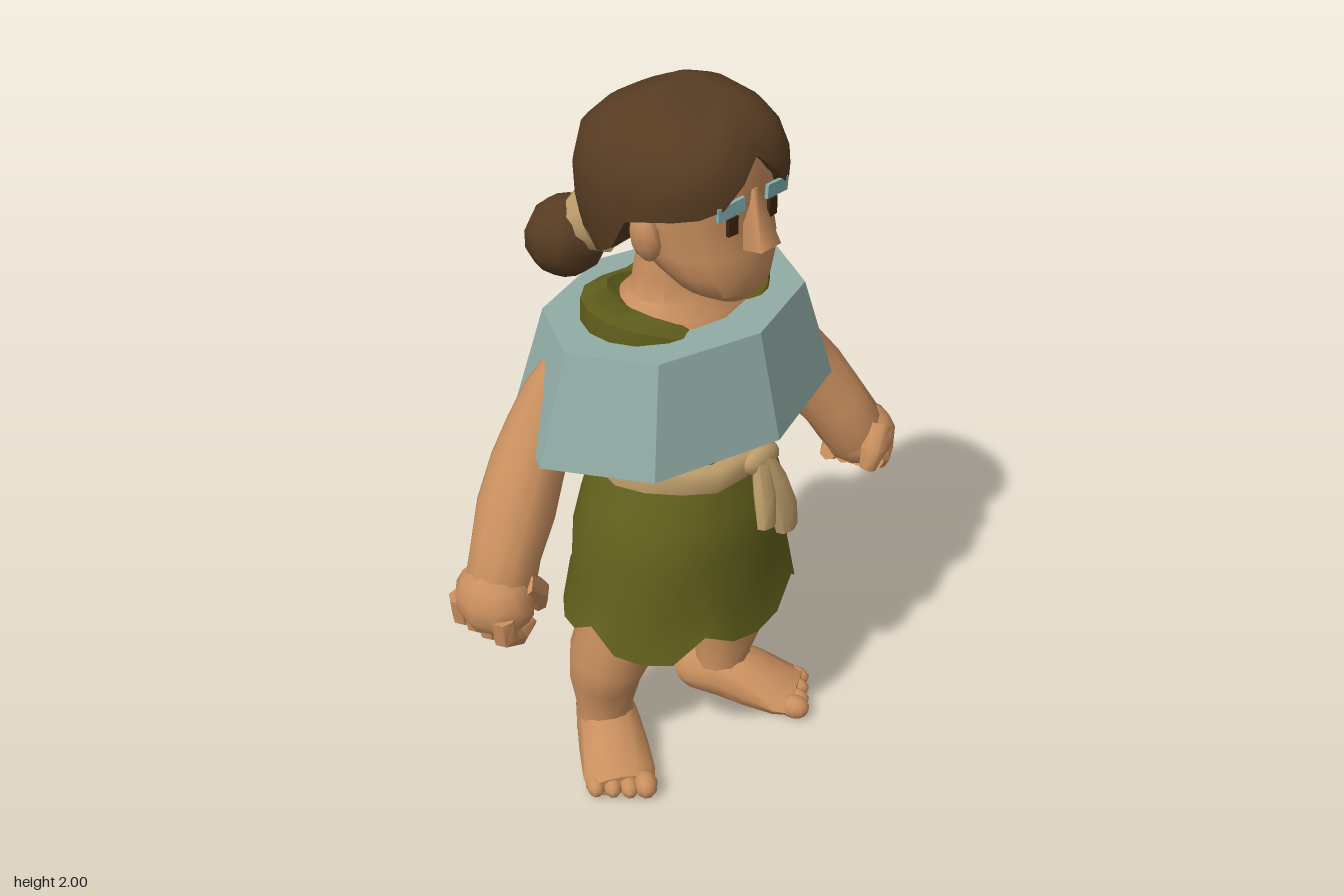
import * as THREE from 'three';
import { toCreasedNormals } from 'three/addons/utils/BufferGeometryUtils.js';

const mat = (name, color, side = THREE.FrontSide) => {
  const m = new THREE.MeshStandardMaterial({ color, side });
  m.name = name;
  return m;
};
const V = (x, y, z) => new THREE.Vector3(x, y, z);

// Closed skin over a stack of rings, with both ends capped
function skinOver(rings, crease = 0.9) {
  const n = rings[0].length, pos = [], idx = [];
  rings.forEach(r => r.forEach(p => pos.push(p.x, p.y, p.z)));
  for (let i = 0; i < rings.length - 1; i++) {
    for (let j = 0; j < n; j++) {
      const a = i * n + j, b = i * n + (j + 1) % n;
      idx.push(a, b, b + n, a, b + n, a + n);
    }
  }
  [rings[0], rings[rings.length - 1]].forEach((r, end) => {
    const c = r.reduce((s, p) => s.add(p), V(0, 0, 0)).divideScalar(n);
    const k = pos.length / 3, base = end ? (rings.length - 1) * n : 0;
    pos.push(c.x, c.y, c.z);
    for (let j = 0; j < n; j++) {
      const a = base + j, b = base + (j + 1) % n;
      if (end) idx.push(a, b, k); else idx.push(b, a, k);
    }
  });
  const g = new THREE.BufferGeometry();
  g.setAttribute('position', new THREE.Float32BufferAttribute(pos, 3));
  g.setIndex(idx);
  return toCreasedNormals(g, crease);
}

// Horizontal rings from rows [y, halfWidth, zFront, zBack]; lift(angle, row) adds height
function stack(rows, sides = 14, power = 2, lift = () => 0) {
  return skinOver(rows.map(([y, rx, zf, zb], i) => Array.from({ length: sides }, (_, j) => {
    const a = j / sides * Math.PI * 2, s = Math.sin(a), c = Math.cos(a);
    const k = Math.pow(Math.abs(s) ** power + Math.abs(c) ** power, -1 / power);
    return V(s * k * rx, y + lift(a, i, j), (zf + zb) / 2 + c * k * (zf - zb) / 2);
  })));
}

// Limb through points [x, y, z, radiusA, radiusB]
function limb(pts, sides = 10, ref = V(0, 0, 1), floor = false) {
  const c = pts.map(p => V(p[0], p[1], p[2]));
  return skinOver(pts.map((p, i) => {
    const t = c[Math.min(i + 1, c.length - 1)].clone().sub(c[Math.max(i - 1, 0)]).normalize();
    const u = t.clone().cross(ref).normalize(), v = u.clone().cross(t);
    return Array.from({ length: sides }, (_, j) => {
      const a = j / sides * Math.PI * 2;
      const q = c[i].clone().addScaledVector(u, Math.sin(a) * p[3]).addScaledVector(v, Math.cos(a) * (p[4] ?? p[3]));
      if (floor) q.y = Math.max(0, q.y);
      return q;
    });
  }));
}

// Piecewise linear lookup in [[x, y], ...] with rising x
function lerpTable(table, x) {
  for (let i = 1; i < table.length; i++) {
    const [x0, y0] = table[i - 1], [x1, y1] = table[i];
    if (x <= x1) return y0 + (y1 - y0) * Math.max(0, (x - x0) / (x1 - x0));
  }
  return table[table.length - 1][1];
}

export function createModel() {
  const skin = mat('skin', 0xc98f5e), hairMat = mat('hair', 0x573c22), cloth = mat('olive cloth', 0x62601c, THREE.DoubleSide);
  const rope = mat('rope', 0xbd9d6a), stone = mat('collar grey', 0x91aca5), brow = mat('brow blue', 0x86b4b6), eye = mat('eye brown', 0x40240f);
  const root = new THREE.Group();
  const add = (name, geo, m, parent = root) => {
    const mesh = new THREE.Mesh(geo, m);
    mesh.name = name;
    parent.add(mesh);
    return mesh;
  };
  const ball = (name, m, p, s, parent) => {
    const b = add(name, new THREE.SphereGeometry(1, 10, 7), m, parent);
    b.position.set(...p);
    b.scale.set(...s);
    return b;
  };

  // Octagonal collar
  const collarGeo = new THREE.CylinderGeometry(0.38, 0.478, 0.275, 8).toNonIndexed();
  collarGeo.scale(1, 1, 0.72);
  collarGeo.computeVertexNormals();
  add('collar', collarGeo, stone).position.y = 1.303;

  // Tunic top: scooped in front, straps raised over the shoulders
  add('tunicTop', stack([
    [1.02, 0.22, 0.21, -0.19], [1.2, 0.235, 0.2, -0.19], [1.36, 0.28, 0.2, -0.18],
    [1.405, 0.275, 0.18, -0.17], [1.41, 0.19, 0.15, -0.14], [1.37, 0.15, 0.12, -0.11],
  ], 18, 2.2, (a, i) => (i < 3 ? 0 : 0.085 * Math.abs(Math.sin(a)) ** 1.3 + (Math.cos(a) < 0 ? -0.05 * Math.cos(a) : 0))), cloth);

  // Skirt with a ragged hem and a lining
  const notch = j => (j % 4 === 2 ? 0.075 : j % 4 === 0 ? 0 : 0.01 * (j % 3));
  add('skirt', stack([
    [0.62, 0.2, 0.17, -0.15], [0.53, 0.32, 0.27, -0.24], [0.515, 0.348, 0.3, -0.268], [0.66, 0.322, 0.272, -0.238],
    [0.8, 0.315, 0.278, -0.23], [0.9, 0.28, 0.26, -0.215], [1.01, 0.228, 0.22, -0.195],
  ], 24, 2.2, (a, i, j) => (i === 1 || i === 2 ? notch(j) : 0)), cloth);

  // Rope belt, knot and tails
  add('belt', stack([
    [0.99, 0.225, 0.22, -0.2], [1.0, 0.24, 0.24, -0.215], [1.035, 0.24, 0.245, -0.22],
    [1.06, 0.235, 0.235, -0.21], [1.07, 0.22, 0.21, -0.19],
  ], 16, 2.1, a => 0.008 * Math.sin(5 * a)), rope);
  ball('beltKnot', rope, [0.055, 1.035, 0.245], [0.065, 0.042, 0.03]);
  add('beltTailLong', limb([[0.05, 1.05, 0.25, 0.03, 0.02], [0.075, 0.97, 0.272, 0.04, 0.03], [0.1, 0.88, 0.29, 0.042, 0.03], [0.11, 0.81, 0.295, 0.036, 0.026]], 7), rope);
  add('beltTailShort', limb([[0.045, 1.05, 0.25, 0.03, 0.02], [0.03, 0.95, 0.28, 0.032, 0.028], [0.025, 0.86, 0.295, 0.03, 0.022]], 7), rope);

  // Neck and upper chest
  add('neck', stack([
    [1.4, 0.22, 0.175, -0.16], [1.455, 0.185, 0.16, -0.14], [1.485, 0.135, 0.125, -0.1], [1.55, 0.125, 0.11, -0.09], [1.64, 0.11, 0.1, -0.06],
  ], 12), skin);

  // Head
  add('head', stack([
    [1.525, 0.06, 0.235, 0.14], [1.55, 0.11, 0.25, 0.06], [1.6, 0.145, 0.25, 0.0], [1.65, 0.165, 0.248, -0.08],
    [1.72, 0.172, 0.232, -0.14], [1.77, 0.178, 0.242, -0.15], [1.88, 0.17, 0.235, -0.14], [1.93, 0.1, 0.16, -0.08],
  ], 16, 2.5), skin);
  const nose = add('nose', new THREE.CylinderGeometry(0.012, 0.05, 0.14, 4, 1).rotateY(Math.PI / 4), skin);
  nose.position.set(0, 1.735, 0.248);
  nose.rotation.x = -0.18;
  for (const s of [-1, 1]) {
    ball('ear', skin, [s * 0.195, 1.7, 0.085], [0.028, 0.062, 0.042]).rotation.z = -s * 0.2;
    const e = add('eye', new THREE.BoxGeometry(0.03, 0.045, 0.009), eye);
    e.position.set(s * 0.07, 1.735, 0.237);
    e.rotation.y = s * 0.1;
    const b = add('eyebrow', new THREE.BoxGeometry(0.082, 0.034, 0.009), brow);
    b.position.set(s * 0.08, 1.78, 0.24);
    b.rotation.set(0, s * 0.1, -s * 0.08);
  }

  // Hair shell: its lower edge parts over the brow and clears the ears
  const edge = [[0, 1.885], [0.3, 1.82], [0.5, 1.775], [0.75, 1.77], [1.1, 1.76], [1.4, 1.74], [1.58, 1.65], [1.9, 1.615], [2.4, 1.59], [3.15, 1.585]];
  const girth = [[1.58, 0.72], [1.62, 0.88], [1.7, 0.97], [1.8, 1], [1.86, 0.98], [1.92, 0.87], [1.97, 0.62], [2, 0.25]];
  const hairRings = [-1, 0, 0.15, 0.35, 0.55, 0.75, 0.9, 1].map(t => Array.from({ length: 28 }, (_, j) => {
    const a = j / 28 * Math.PI * 2, s = Math.sin(a), c = Math.cos(a);
    const low = lerpTable(edge, Math.min(a, Math.PI * 2 - a));
    const y = low + (2 - low) * Math.max(t, 0);
    const k = lerpTable(girth, y) * Math.pow(Math.abs(s) ** 2.4 + Math.abs(c) ** 2.4, -1 / 2.4) * (t < 0 ? 0.82 : 1);
    const dip = t > 0.85 ? 0.015 * c * c : 0;
    return V(s * k * 0.24, y - dip, c * k * (c > 0 ? 0.262 : 0.217));
  }));
  add('hair', skinOver(hairRings), hairMat);

  // Bun and its tie
  ball('hairBun', hairMat, [-0.15, 1.585, -0.222], [0.108, 0.102, 0.102]);
  const tie = add('hairTie', new THREE.CylinderGeometry(0.075, 0.09, 0.05, 10), rope);
  tie.position.set(-0.118, 1.635, -0.168);
  tie.quaternion.setFromUnitVectors(V(0, 1, 0), V(-0.35, -0.4, -0.85).normalize());

  // Arms, each ending in a closed fist
  const arm = (side, pts, hand, turn) => {
    const g = new THREE.Group();
    g.name = side + 'Arm';
    root.add(g);
    add(side + 'ArmSkin', limb(pts, 12), skin, g);
    const h = new THREE.Group(), s = Math.sign(hand[0]);
    h.name = side + 'Hand';
    h.position.set(...hand);
    h.rotation.y = turn;
    g.add(h);
    ball('palm', skin, [s * 0.01, 0.01, 0], [0.092, 0.1, 0.11], h);
    for (let i = 0; i < 4; i++) {
      const z = -0.072 + i * 0.046;
      add('finger', limb([[s * 0.055, 0.01, z, 0.032], [s * 0.05, -0.05, z, 0.034], [s * 0.01, -0.07, z, 0.034], [-s * 0.035, -0.05, z, 0.026]], 7), skin, h);
    }
    add('thumb', limb([[-s * 0.02, 0.06, 0.06, 0.04], [-s * 0.07, 0.01, 0.065, 0.036], [-s * 0.085, -0.045, 0.055, 0.024]], 7), skin, h);
  };
  arm('left', [
    [0.36, 1.365, 0.065, 0.03], [0.365, 1.29, 0.055, 0.058, 0.062], [0.39, 1.19, 0.02, 0.09], [0.44, 1.1, 0.015, 0.1],
    [0.495, 1.01, 0.05, 0.105], [0.55, 0.91, 0.105, 0.095], [0.585, 0.83, 0.145, 0.095], [0.6, 0.76, 0.16, 0.07],
  ], [0.598, 0.79, 0.16], 0.4);
  arm('right', [
    [-0.31, 1.36, -0.1, 0.03], [-0.335, 1.28, -0.105, 0.065], [-0.37, 1.18, -0.11, 0.088], [-0.425, 1.1, -0.105, 0.095],
    [-0.49, 1.01, -0.085, 0.1], [-0.55, 0.92, -0.065, 0.09], [-0.59, 0.84, -0.05, 0.09], [-0.602, 0.78, -0.045, 0.07],
  ], [-0.6, 0.81, -0.048], 0.1);

  // Legs and turned-out feet
  const leg = (side, s, z, turn) => {
    const g = new THREE.Group();
    g.name = side + 'Leg';
    root.add(g);
    add(side + 'LegSkin', limb([
      [s * 0.15, 0.72, z + 0.03, 0.1], [s * 0.185, 0.55, z + 0.03, 0.1, 0.105], [s * 0.19, 0.45, z + 0.03, 0.1, 0.11],
      [s * 0.207, 0.35, z + 0.02, 0.108, 0.118], [s * 0.207, 0.27, z, 0.1, 0.105],
      [s * 0.2, 0.16, z - 0.012, 0.082, 0.085], [s * 0.2, 0.06, z - 0.01, 0.09, 0.085],
    ], 12), skin, g);
    const f = new THREE.Group();
    f.name = side + 'Foot';
    f.position.set(s * 0.2, 0, z);
    f.rotation.y = turn;
    g.add(f);
    add('footBody', limb([
      [0, 0.045, -0.13, 0.06, 0.055], [0, 0.06, -0.1, 0.08, 0.075], [0, 0.075, 0, 0.092, 0.1],
      [0, 0.055, 0.09, 0.1, 0.078], [0, 0.035, 0.18, 0.103, 0.05], [0, 0.032, 0.225, 0.095, 0.036],
    ], 12, V(0, 1, 0), true), skin, f);
    for (let i = 0; i < 4; i++) {
      const r = i ? 0.031 : 0.038;
      ball('toe', skin, [s * (-0.065 + i * 0.046), r, 0.238 - i * 0.012], [r * 0.9, r, 0.044], f);
    }
  };
  leg('left', 1, 0.02, 0.42);
  leg('right', -1, -0.085, -0.62);

  return root;
}
